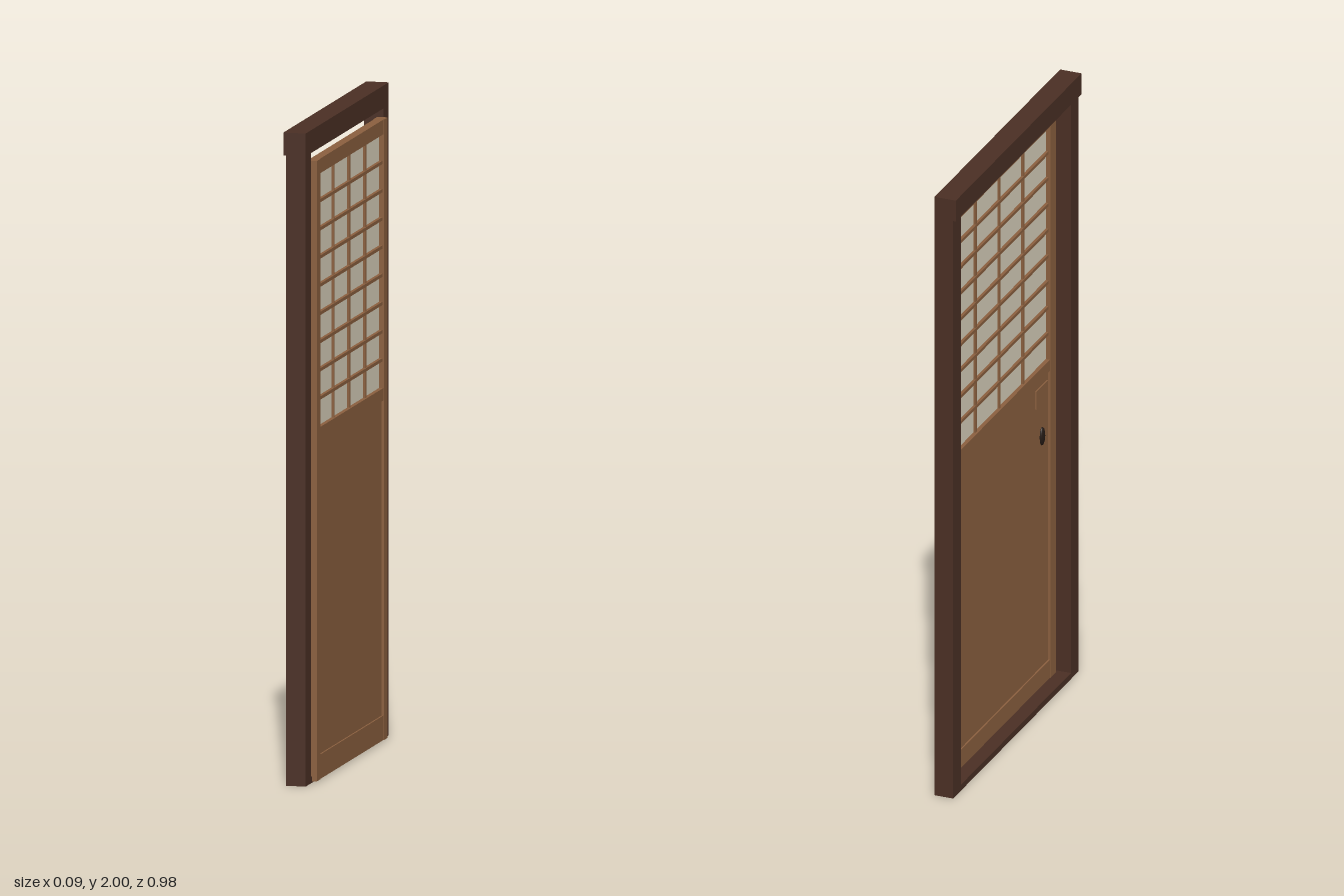
import * as THREE from 'three';

export function createModel() {
  const root = new THREE.Group();
  root.name = 'panelDoor';
  const mat = (name, color) => {
    const m = new THREE.MeshStandardMaterial({ color });
    m.name = name;
    return m;
  };
  const frameWood = mat('dark frame wood', 0x4a2f24);
  const doorWood = mat('door wood', 0x8a5f3e);
  const paper = mat('cream paper', 0xd8d0bb);
  const iron = mat('dark iron', 0x241a15);

  // Box given by its limits along each axis
  const box = (parent, name, material, [x0, x1], [y0, y1], [z0, z1]) => {
    const mesh = new THREE.Mesh(new THREE.BoxGeometry(x1 - x0, y1 - y0, z1 - z0), material);
    mesh.position.set((x0 + x1) / 2, (y0 + y1) / 2, (z0 + z1) / 2);
    mesh.name = name;
    parent.add(mesh);
    return mesh;
  };

  // Fixed frame: posts, header and sill
  const frame = new THREE.Group();
  frame.name = 'frame';
  root.add(frame);
  box(frame, 'leftPost', frameWood, [-0.035, 0.026], [0, 1.93], [0.428, 0.488]);
  box(frame, 'rightPost', frameWood, [-0.035, 0.026], [0, 1.93], [-0.488, -0.428]);
  box(frame, 'header', frameWood, [-0.044, 0.026], [1.93, 2], [-0.488, 0.488]);
  box(frame, 'sill', frameWood, [-0.035, 0.026], [0, 0.02], [-0.428, 0.428]);

  // Sliding leaf: stiles and rails around a panel and a paper window
  const door = new THREE.Group();
  door.name = 'door';
  root.add(door);
  const stileX = [0.009, 0.042], railX = [0.011, 0.04];
  const inner = 0.372, innerZ = [-inner, inner];
  box(door, 'leftStile', doorWood, stileX, [0.005, 1.905], [inner, 0.416]);
  box(door, 'rightStile', doorWood, stileX, [0.005, 1.905], [-0.416, -inner]);
  box(door, 'bottomRail', doorWood, railX, [0.005, 0.08], innerZ);
  box(door, 'middleRail', doorWood, railX, [1.045, 1.083], innerZ);
  box(door, 'topRail', doorWood, railX, [1.86, 1.905], innerZ);
  box(door, 'lowerPanel', doorWood, [0.016, 0.035], [0.08, 1.045], innerZ);
  box(door, 'windowPaper', paper, [0.024, 0.027], [1.083, 1.86], innerZ);

  // Lattice: nine rows by four columns
  const lattice = new THREE.Group();
  lattice.name = 'lattice';
  door.add(lattice);
  const low = 1.083, high = 1.86, rows = 9, columns = 4, half = 0.005;
  for (let i = 1; i < rows; i++) {
    const y = low + ((high - low) * i) / rows;
    box(lattice, 'crossBar', doorWood, [0.015, 0.037], [y - half, y + half], innerZ);
  }
  for (let i = 1; i < columns; i++) {
    const z = -inner + (2 * inner * i) / columns;
    box(lattice, 'uprightBar', doorWood, [0.017, 0.035], [low, high], [z - half, z + half]);
  }

  // Latch plate and small pull on the inner side
  box(door, 'latchPlate', doorWood, [0.012, 0.016], [0.96, 1.02], [0.27, 0.36]);
  const pull = new THREE.Mesh(new THREE.SphereGeometry(1, 20, 12), iron);
  pull.name = 'pull';
  pull.scale.set(0.008, 0.03, 0.015);
  pull.position.set(0.014, 0.85, 0.32);
  door.add(pull);

  return root;
}
